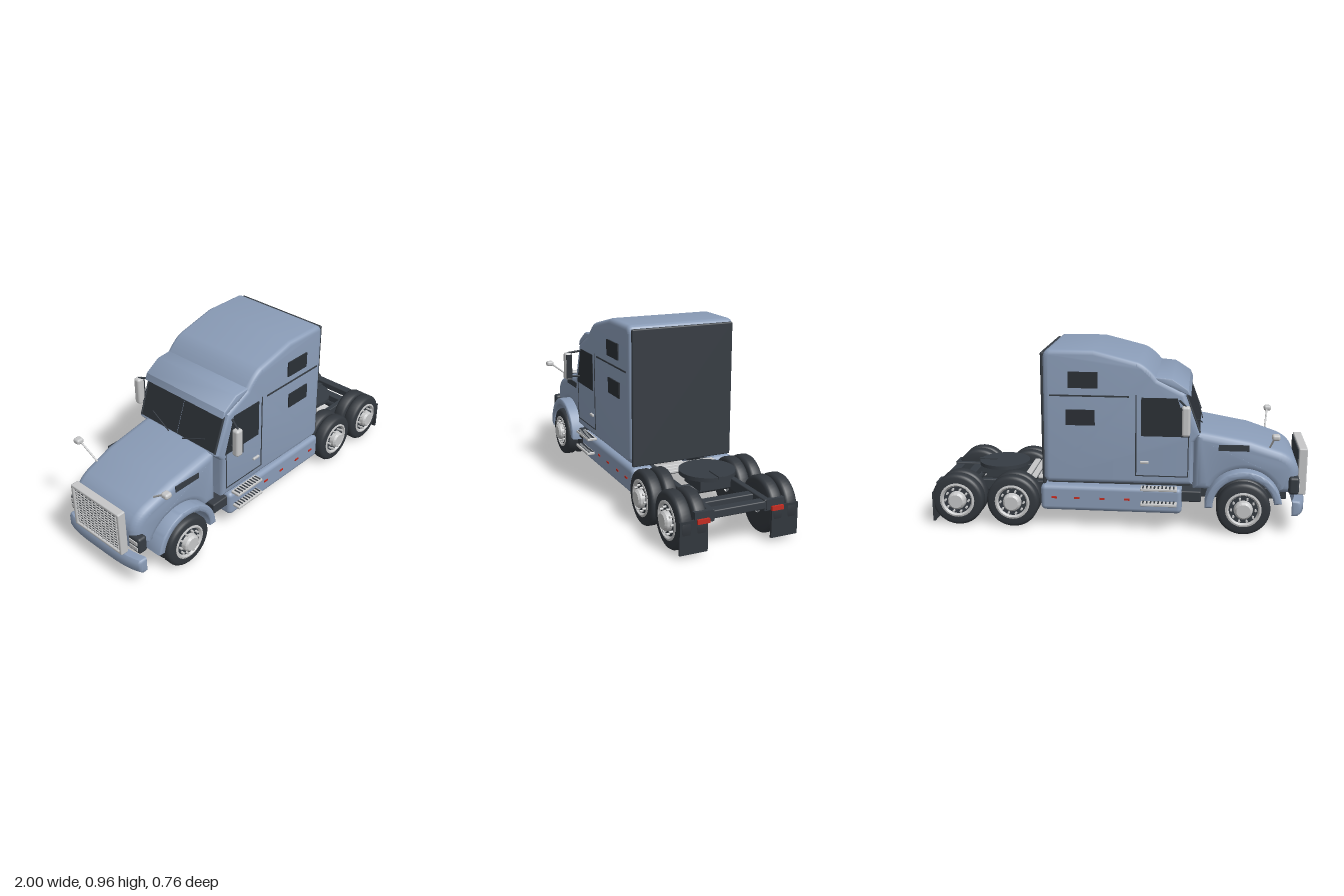
import * as THREE from 'three';
import { toCreasedNormals } from 'three/addons/utils/BufferGeometryUtils.js';
import { RoundedBoxGeometry } from 'three/addons/geometries/RoundedBoxGeometry.js';

const material = (name, color) => Object.assign(new THREE.MeshStandardMaterial({ color }), { name });
const paint = material('bluePaint', 0x8a9cb7);
const dark = material('darkTrim', 0x363c43);
const glass = material('glass', 0x2b3036);
const rubber = material('rubber', 0x32373d);
const chrome = material('chrome', 0xc6c7c8);
const red = material('redLamp', 0xc42d22);
const V2 = (r, y) => new THREE.Vector2(r, y);
const V3 = (x, y, z) => new THREE.Vector3(x, y, z);

export function createModel() {
  const truck = new THREE.Group();
  truck.name = 'semiTruck';

  function add(name, geometry, mat, x = 0, y = 0, z = 0, parent = truck) {
    const mesh = new THREE.Mesh(geometry, mat);
    mesh.name = name;
    mesh.position.set(x, y, z);
    parent.add(mesh);
    return mesh;
  }
  // Boxes are given by their lower and upper limits on each axis
  function box(name, mat, x0, x1, y0, y1, z0, z1, r = 0, parent = truck) {
    const s = [x1 - x0, y1 - y0, Math.abs(z1 - z0)];
    const g = r ? new RoundedBoxGeometry(...s, 3, r) : new THREE.BoxGeometry(...s);
    return add(name, g, mat, (x0 + x1) / 2, (y0 + y1) / 2, (z0 + z1) / 2, parent);
  }
  // Side profile pulled across the truck, with rounded edges
  function profile(shape, za, zb, bevel = 0, steps = 1) {
    const z0 = Math.min(za, zb), z1 = Math.max(za, zb);
    const s = Array.isArray(shape) ? new THREE.Shape(shape.map(p => V2(...p))) : shape;
    const g = new THREE.ExtrudeGeometry(s, {
      depth: z1 - z0 - 2 * bevel, steps, curveSegments: 20, bevelEnabled: bevel > 0,
      bevelSize: bevel, bevelThickness: bevel, bevelOffset: -bevel, bevelSegments: 4,
    });
    g.translate(0, 0, z0 + bevel);
    return g;
  }
  const smooth = (g, a = 0.6) => toCreasedNormals(g, a);
  function rod(name, mat, a, b, r) {
    const mesh = add(name, new THREE.CylinderGeometry(r, r, a.distanceTo(b), 14), mat);
    mesh.position.copy(a).add(b).multiplyScalar(0.5);
    mesh.quaternion.setFromUnitVectors(V3(0, 1, 0), b.clone().sub(a).normalize());
    return mesh;
  }

  // Cab and sleeper
  const cab = new THREE.Shape();
  cab.moveTo(-0.405, 0.26);
  cab.lineTo(-0.405, 0.49);
  cab.lineTo(-0.438, 0.53);
  cab.lineTo(-0.36, 0.745);
  cab.lineTo(-0.22, 0.815);
  cab.quadraticCurveTo(-0.16, 0.89, -0.11, 0.905);
  cab.lineTo(0.11, 0.96);
  cab.lineTo(0.335, 0.96);
  cab.quadraticCurveTo(0.37, 0.96, 0.375, 0.92);
  cab.lineTo(0.38, 0.28);
  cab.lineTo(0.36, 0.255);
  add('cab', smooth(profile(cab, -0.292, 0.292, 0.025)), paint);
  box('cabFloor', dark, -0.39, 0.36, 0.247, 0.258, -0.265, 0.265);
  box('cabBackPanel', dark, 0.37, 0.388, 0.24, 0.945, -0.279, 0.279, 0.007);
  const visor = [[-0.388, 0.73], [-0.375, 0.765], [-0.29, 0.82], [-0.2, 0.828], [-0.2, 0.78], [-0.28, 0.775]];
  add('sunVisor', smooth(profile(visor, -0.282, 0.282, 0.009)), paint);

  // Hood, narrowing towards the nose, with the wheel opening cut out
  const hood = new THREE.Shape();
  hood.moveTo(-0.405, 0.22);
  hood.lineTo(-0.405, 0.54);
  hood.lineTo(-0.46, 0.533);
  hood.lineTo(-0.7, 0.49);
  hood.lineTo(-0.86, 0.437);
  hood.quadraticCurveTo(-0.95, 0.4, -0.955, 0.32);
  hood.lineTo(-0.945, 0.21);
  hood.lineTo(-0.838, 0.21);
  hood.absarc(-0.67, 0.145, 0.18, Math.PI - 0.37, 0.43, true);
  const hoodGeo = profile(hood, -0.25, 0.25, 0.045);
  const hp = hoodGeo.attributes.position;
  for (let i = 0; i < hp.count; i++) {
    const t = Math.max(0, (-0.6 - hp.getX(i)) / 0.35);
    hp.setZ(i, hp.getZ(i) * (1 - 0.08 * t * t));
  }
  add('hood', smooth(hoodGeo, 0.7), paint);
  box('engineBlock', dark, -0.86, -0.4, 0.2, 0.34, -0.14, 0.14);

  // Bumper swept back at its ends
  const bumper = profile([[-0.995, 0.12], [-0.975, 0.1], [-0.945, 0.1], [-0.945, 0.185], [-0.985, 0.185], [-0.995, 0.17]], -0.275, 0.275, 0.015, 16);
  const bp = bumper.attributes.position;
  for (let i = 0; i < bp.count; i++) bp.setX(i, bp.getX(i) + 5 * Math.abs(bp.getZ(i)) ** 4);
  add('frontBumper', smooth(bumper, 0.9), paint);

  // Grille: dark core, chrome frame and crossed bars
  const grille = new THREE.Group();
  grille.name = 'grille';
  truck.add(grille);
  box('grilleCore', dark, -0.988, -0.95, 0.2, 0.43, -0.165, 0.165, 0, grille);
  for (const s of [-1, 1]) box('grilleSide', chrome, -1, -0.955, 0.19, 0.44, s * 0.16, s * 0.178, 0.006, grille);
  for (const y of [0.19, 0.425]) box('grilleRail', chrome, -1, -0.955, y, y + 0.016, -0.175, 0.175, 0.006, grille);
  for (let i = 1; i < 14; i++) box('grilleBar', chrome, -0.993, -0.986, 0.2 + i * 0.0165, 0.204 + i * 0.0165, -0.162, 0.162, 0, grille);
  for (let i = -5; i <= 5; i++) box('grilleUpright', chrome, -0.994, -0.986, 0.2, 0.43, i * 0.029 - 0.002, i * 0.029 + 0.002, 0, grille);

  // Windshield in two panes
  const lean = -Math.atan2(0.078, 0.215);
  for (const s of [-1, 1]) {
    const pane = box('windshieldPane', glass, -0.404, -0.396, 0.538, 0.742, s * 0.003, s * 0.266);
    pane.position.set(-0.4, 0.637, s * 0.1345);
    pane.rotation.z = lean;
    rod('wiper', dark, V3(-0.448, 0.54, s * 0.05), V3(-0.425, 0.59, s * 0.19), 0.003);
  }

  // Side details, mirrored
  for (const s of [-1, 1]) {
    const side = (name, mat, x0, x1, y0, y1, z = 0.296) => box(name, mat, x0, x1, y0, y1, s * (z - 0.008), s * z);
    add('doorWindow', profile([[-0.385, 0.52], [-0.135, 0.52], [-0.135, 0.722], [-0.32, 0.722]], s * 0.288, s * 0.296), glass);
    rod('frontPillar', dark, V3(-0.437, 0.54, s * 0.268), V3(-0.364, 0.735, s * 0.268), 0.006);
    side('doorSeam', dark, -0.111, -0.105, 0.305, 0.735, 0.294);
    side('doorSeam', dark, -0.381, -0.105, 0.303, 0.308, 0.294);
    side('doorSeam', dark, -0.381, -0.376, 0.305, 0.52, 0.294);
    box('doorHandle', chrome, -0.175, -0.13, 0.372, 0.386, s * 0.288, s * 0.302, 0.004);
    side('upperSleeperWindow', glass, 0.09, 0.242, 0.766, 0.85, 0.299);
    side('lowerSleeperWindow', glass, 0.105, 0.256, 0.57, 0.652, 0.299);
    side('sleeperTrim', dark, -0.072, 0.34, 0.721, 0.729, 0.296);
    side('hoodVent', dark, -0.692, -0.535, 0.44, 0.472, 0.253);

    // Fender arch
    const arch = new THREE.Shape();
    arch.absarc(-0.67, 0.145, 0.2, -0.02, Math.PI - 0.15, false);
    arch.absarc(-0.67, 0.145, 0.16, Math.PI - 0.15, -0.02, true);
    add('fender', smooth(profile(arch, s * 0.18, s * 0.306, 0.012)), paint);

    // Headlight
    box('headlightHousing', dark, -0.955, -0.902, 0.215, 0.307, s * 0.182, s * 0.262, 0.014);
    for (const y of [0.235, 0.268]) box('headlightLens', chrome, -0.96, -0.952, y, y + 0.02, s * 0.195, s * 0.25);

    // Door mirror
    box('mirrorShell', chrome, -0.388, -0.343, 0.542, 0.698, s * 0.336, s * 0.378, 0.014);
    box('mirrorGlass', glass, -0.346, -0.339, 0.552, 0.688, s * 0.341, s * 0.373);
    rod('mirrorArm', dark, V3(-0.33, 0.71, s * 0.285), V3(-0.365, 0.695, s * 0.36), 0.006);
    rod('mirrorArm', dark, V3(-0.34, 0.56, s * 0.285), V3(-0.365, 0.56, s * 0.345), 0.005);

    // Hood mirror
    rod('hoodMirrorStalk', chrome, V3(-0.8, 0.455, s * 0.21), V3(-0.815, 0.535, s * 0.31), 0.005);
    box('hoodMirror', chrome, -0.84, -0.798, 0.525, 0.555, s * 0.303, s * 0.345, 0.012);

    // Side skirt with marker lamps and steps
    box('sideSkirt', paint, -0.35, 0.4, 0.095, 0.236, s * 0.165, s * 0.29, 0.025);
    for (const x of [-0.062, 0.07, 0.205, 0.325]) side('markerLamp', red, x - 0.014, x + 0.014, 0.165, 0.175, 0.294);
    box('batteryBox', dark, -0.45, -0.34, 0.16, 0.22, s * 0.15, s * 0.27, 0.008);
    for (const [y, z] of [[0.15, 0.334], [0.232, 0.33]]) {
      box('step', chrome, -0.325, -0.135, y, y + 0.015, s * 0.275, s * z, 0.004);
      for (let i = 0; i < 9; i++) {
        const x = -0.312 + i * 0.02;
        box('stepGrip', dark, x, x + 0.008, y + 0.013, y + 0.017, s * 0.285, s * 0.325);
      }
    }

    // Frame rail, mud flap and tail lamp
    box('frameRail', dark, -0.9, 0.98, 0.155, 0.215, s * 0.13, s * 0.163, 0.006);
    box('mudFlap', rubber, 0.975, 0.987, 0.02, 0.18, s * 0.168, s * 0.31);
    box('mudFlapBracket', dark, 0.96, 0.985, 0.165, 0.215, s * 0.14, s * 0.235);
    box('tailLamp', red, 0.982, 0.997, 0.16, 0.182, s * 0.163, s * 0.225);
  }

  // Cross members, rear deck and fifth wheel
  for (const x of [-0.3, 0.05, 0.35, 0.85, 0.955]) box('crossMember', dark, x - 0.025, x + 0.025, 0.168, 0.208, -0.14, 0.14, 0.006);
  for (const x of [0.42, 0.46, 0.5]) box('deckSlat', chrome, x - 0.016, x + 0.016, 0.228, 0.242, -0.162, 0.162, 0.004);
  box('fifthWheelBase', dark, 0.575, 0.745, 0.205, 0.266, -0.083, 0.083);
  add('fifthWheelPlate', new THREE.CylinderGeometry(0.14, 0.14, 0.02, 48), dark, 0.655, 0.273, 0);
  box('couplingJaw', dark, 0.7, 0.8, 0.276, 0.288, -0.012, 0.012);

  // Wheels
  const w = 0.034;
  const tireGeo = smooth(new THREE.LatheGeometry([V2(0.04, -w), V2(0.085, -w), V2(0.122, -w), V2(0.134, -w * 0.85),
    V2(0.14, -w * 0.55), V2(0.14, w * 0.55), V2(0.134, w * 0.85), V2(0.122, w), V2(0.085, w), V2(0.08, 0)], 48).toNonIndexed(), 0.7).rotateX(Math.PI / 2);
  const rimGeo = smooth(new THREE.LatheGeometry([V2(0.094, -0.02), V2(0.094, 0.006), V2(0.084, 0.009), V2(0.075, -0.004),
    V2(0.05, -0.004), V2(0.046, 0.02), V2(0.036, 0.03), V2(0, 0.03)], 40).toNonIndexed(), 0.5).rotateX(Math.PI / 2);
  const bandGeo = new THREE.RingGeometry(0.05, 0.075, 40);
  const boltGeo = new THREE.CylinderGeometry(0.006, 0.006, 0.022, 8).rotateX(Math.PI / 2);
  for (const x of [-0.67, 0.55, 0.85]) {
    rod('axle', dark, V3(x, 0.143, -0.27), V3(x, 0.143, 0.27), 0.028);
    for (const s of [-1, 1]) {
      const wheel = new THREE.Group();
      wheel.name = x < 0 ? 'frontWheel' : 'rearDualWheel';
      wheel.position.set(x, 0.141, s * 0.276);
      if (s < 0) wheel.rotation.y = Math.PI;
      truck.add(wheel);
      add('outerTire', tireGeo, rubber, 0, 0, 0, wheel);
      add('innerTire', tireGeo, rubber, 0, 0, -0.076, wheel);
      add('rim', rimGeo, chrome, 0, 0, 0.03, wheel);
      add('rimBand', bandGeo, dark, 0, 0, 0.0275, wheel);
      for (let i = 0; i < 10; i++) {
        const a = i * Math.PI / 5;
        add('wheelBolt', boltGeo, chrome, 0.063 * Math.cos(a), 0.063 * Math.sin(a), 0.034, wheel);
      }
    }
  }
  return truck;
}
